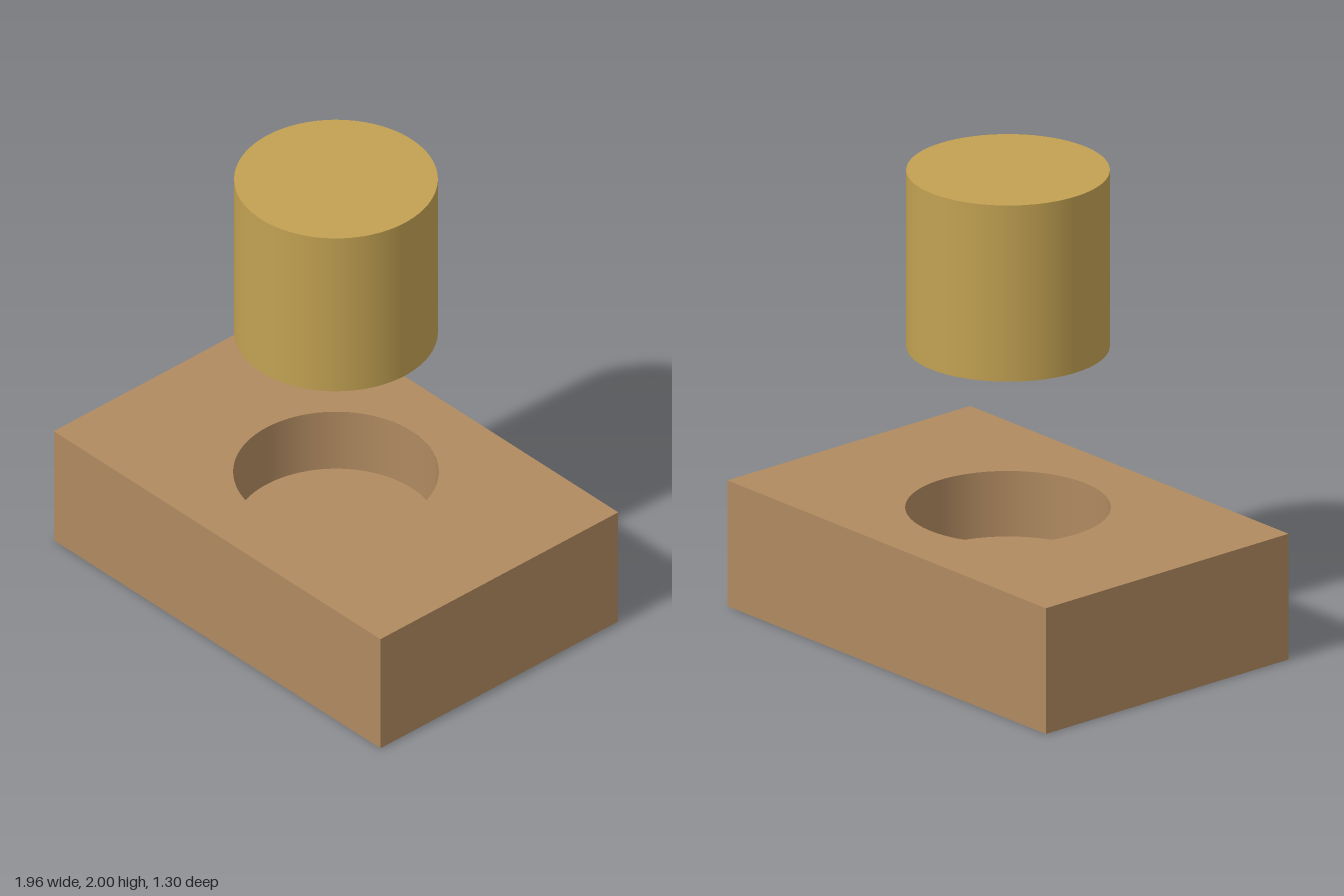
import * as THREE from 'three';

const SEGMENTS = 96;
const BLOCK = { width: 1.957, height: 0.543, depth: 1.304 };
const HOLE = { radius: 0.416, floor: 0.26 };
const PEG = { radius: 0.412, bottom: 1.239, top: 2 };

export function createModel() {
  const model = new THREE.Group();
  model.name = 'pegAndBlock';

  const wood = new THREE.MeshStandardMaterial({ color: 0xb08a60 });
  wood.name = 'brown';
  const brass = new THREE.MeshStandardMaterial({ color: 0xc2a152 });
  brass.name = 'ochre';

  const add = (parent, name, geometry, material, y) => {
    const mesh = new THREE.Mesh(geometry, material);
    mesh.name = name;
    mesh.position.y = y;
    parent.add(mesh);
  };

  const block = new THREE.Group();
  block.name = 'block';
  model.add(block);

  // Block sides and underside: a box with its top face left out
  const { width: w, height: h, depth: d } = BLOCK;
  const shell = new THREE.BoxGeometry(w, h, d);
  const top = shell.groups[2];
  const index = Array.from(shell.index.array);
  index.splice(top.start, top.count);
  shell.setIndex(index);
  shell.clearGroups();
  add(block, 'blockSides', shell, wood, h / 2);

  // Top face with the round opening
  const outline = new THREE.Shape();
  outline.moveTo(-w / 2, -d / 2);
  outline.lineTo(w / 2, -d / 2);
  outline.lineTo(w / 2, d / 2);
  outline.lineTo(-w / 2, d / 2);
  outline.closePath();
  outline.holes.push(new THREE.Path().absarc(0, 0, HOLE.radius, 0, Math.PI * 2, true));
  const topFace = new THREE.ShapeGeometry(outline, SEGMENTS).rotateX(-Math.PI / 2);
  add(block, 'blockTop', topFace, wood, h);

  // Blind hole: inward-facing wall and flat floor
  const wall = new THREE.LatheGeometry([
    new THREE.Vector2(HOLE.radius, h),
    new THREE.Vector2(HOLE.radius, HOLE.floor),
  ], SEGMENTS);
  add(block, 'holeWall', wall, wood, 0);
  const floor = new THREE.CircleGeometry(HOLE.radius, SEGMENTS).rotateX(-Math.PI / 2);
  add(block, 'holeFloor', floor, wood, HOLE.floor);

  // Peg floating above the hole
  const peg = new THREE.CylinderGeometry(PEG.radius, PEG.radius, PEG.top - PEG.bottom, SEGMENTS);
  add(model, 'peg', peg, brass, (PEG.top + PEG.bottom) / 2);

  return model;
}
